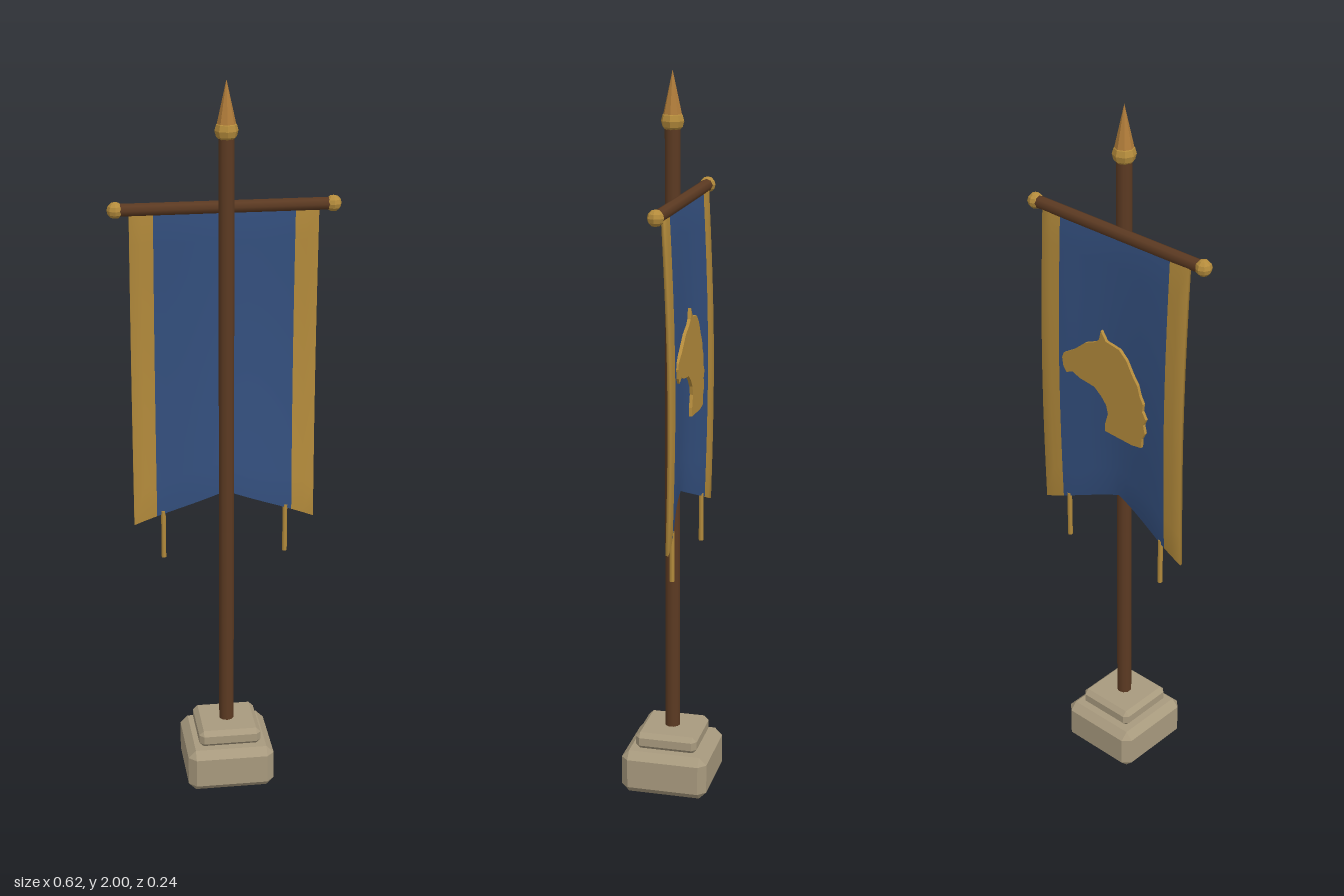
import * as THREE from 'three';
import { mergeVertices } from 'three/addons/utils/BufferGeometryUtils.js';
import { ConvexGeometry } from 'three/addons/geometries/ConvexGeometry.js';

const material = (name, color) => {
  const m = new THREE.MeshStandardMaterial({ color });
  m.name = name;
  return m;
};

// Faceted copy of a geometry
const faceted = (g) => {
  const f = g.toNonIndexed();
  f.computeVertexNormals();
  return f;
};

// Box with every edge and corner cut by b
function chamferBox(half, y0, y1, b) {
  const pts = [];
  const h = (y1 - y0) / 2, mid = (y0 + y1) / 2;
  for (const sx of [-1, 1]) for (const sy of [-1, 1]) for (const sz of [-1, 1]) {
    for (const [a, c, d] of [[0, b, b], [b, 0, b], [b, b, 0]]) {
      pts.push(new THREE.Vector3(sx * (half - a), mid + sy * (h - c), sz * (half - d)));
    }
  }
  return new ConvexGeometry(pts);
}

const TOP = 1.665;
const clothBottom = (x) => 0.87 - 0.4 * Math.abs(x);

// Softly folded cloth; the outer columns on each side form the border
function clothGeometry() {
  let g = new THREE.BoxGeometry(0.5, 1, 0.008, 16, 9, 1);
  g.deleteAttribute('normal');
  g.deleteAttribute('uv');
  g.clearGroups();
  g = mergeVertices(g);
  const p = g.attributes.position;
  for (let i = 0; i < p.count; i++) {
    const x = p.getX(i), t = 0.5 - p.getY(i);
    const fold = (0.003 + 0.011 * t) * Math.cos(x * Math.PI / 0.25);
    p.setY(i, THREE.MathUtils.lerp(TOP, clothBottom(x), t));
    p.setZ(i, p.getZ(i) - 0.033 - 0.011 * Math.sin(Math.PI * t) + fold);
  }
  g.computeVertexNormals();

  // Sort the triangles into field and border
  const field = [], border = [];
  const idx = g.index.array;
  for (let i = 0; i < idx.length; i += 3) {
    const tri = [idx[i], idx[i + 1], idx[i + 2]];
    const cx = tri.reduce((s, k) => s + p.getX(k), 0) / 3;
    (Math.abs(cx) > 0.1875 ? border : field).push(...tri);
  }
  g.setIndex([...field, ...border]);
  g.addGroup(0, field.length, 0);
  g.addGroup(field.length, border.length, 1);
  return g;
}

// Horse head silhouette, thin plate on the back of the cloth
function emblemGeometry() {
  const outline = [
    [0.172, 1.253], [0.166, 1.27], [0.13, 1.292], [0.088, 1.328], [0.05, 1.345],
    [0.036, 1.358], [0.03, 1.386], [0.012, 1.36], [-0.01, 1.357], [-0.035, 1.353],
    [-0.06, 1.33], [-0.08, 1.295], [-0.098, 1.27], [-0.106, 1.243], [-0.118, 1.222],
    [-0.115, 1.2], [-0.128, 1.178], [-0.119, 1.16], [-0.125, 1.135], [-0.114, 1.115],
    [-0.112, 1.087], [-0.08, 1.082], [0.017, 1.086], [0.016, 1.11], [0.006, 1.144],
    [0.012, 1.168], [0.03, 1.189], [0.055, 1.208], [0.107, 1.214], [0.135, 1.224],
    [0.157, 1.213], [0.168, 1.228],
  ];
  const shape = new THREE.Shape(outline.map(([x, y]) => new THREE.Vector2(x, y)));
  return new THREE.ExtrudeGeometry(shape, { depth: 0.009, bevelEnabled: false }).translate(0, 0, -0.058);
}

export function createModel() {
  const stone = material('stone', 0xa89a7e);
  const wood = material('dark wood', 0x5c3a22);
  const blue = material('blue cloth', 0x34507f);
  const gold = material('gold', 0xb58c3c);
  const bronze = material('bronze', 0xb07c3a);

  const model = new THREE.Group();
  model.name = 'banner';
  const add = (name, geometry, mat, x = 0, y = 0, z = 0) => {
    const mesh = new THREE.Mesh(geometry, mat);
    mesh.name = name;
    mesh.position.set(x, y, z);
    model.add(mesh);
    return mesh;
  };

  // Stepped stone base
  add('baseBlock', chamferBox(0.122, 0, 0.125, 0.021), stone);
  add('baseStep', chamferBox(0.088, 0.123, 0.172, 0.013), stone);

  // Pole and spear tip
  add('pole', new THREE.CylinderGeometry(0.021, 0.021, 1.72, 10), wood, 0, 1.0);
  add('finialBall', faceted(new THREE.SphereGeometry(0.031, 8, 6)), gold, 0, 1.87);
  add('finialSpike', faceted(new THREE.ConeGeometry(0.027, 0.122, 8)), bronze, 0, 1.939);

  // Crossbar with end knobs
  const bar = add('crossbar', new THREE.CylinderGeometry(0.017, 0.017, 0.57, 8), wood, 0, TOP, -0.028);
  bar.rotation.z = Math.PI / 2;
  for (const s of [-1, 1]) {
    add(s > 0 ? 'leftKnob' : 'rightKnob', faceted(new THREE.SphereGeometry(0.022, 8, 6)), gold, s * 0.286, TOP, -0.028);
  }

  // Cloth, emblem and hanging cords
  add('cloth', clothGeometry(), [blue, gold]);
  add('emblem', emblemGeometry(), gold);
  for (const s of [-1, 1]) {
    add(s > 0 ? 'leftCord' : 'rightCord', new THREE.CylinderGeometry(0.007, 0.007, 0.14, 6), gold, s * 0.17, 0.74, -0.041);
  }
  return model;
}
